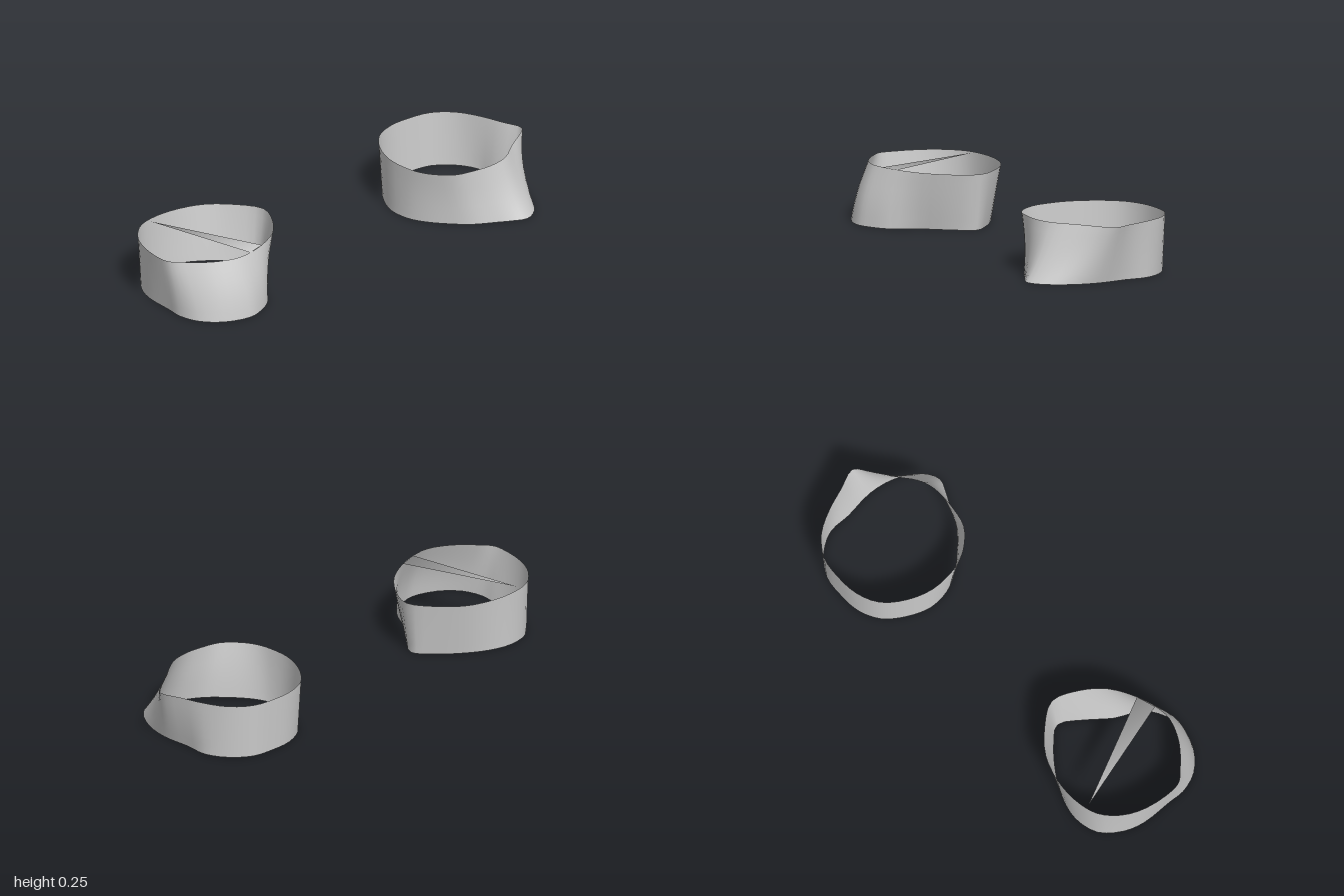
import * as THREE from 'three';

// Matched outline points: [topX, topZ, bottomX, bottomZ], clockwise seen from above
const rightCuff = [
  [-1.00, 0.02, -0.965, 0.03], [-0.98, -0.12, -0.957, -0.11], [-0.93, -0.22, -0.925, -0.20],
  [-0.85, -0.29, -0.85, -0.285], [-0.74, -0.315, -0.74, -0.31], [-0.62, -0.305, -0.635, -0.285],
  [-0.51, -0.265, -0.53, -0.225], [-0.415, -0.18, -0.43, -0.14], [-0.35, -0.075, -0.38, -0.07],
  [-0.395, 0.04, -0.445, 0.03], [-0.475, 0.135, -0.525, 0.125], [-0.59, 0.20, -0.59, 0.24],
  [-0.675, 0.225, -0.67, 0.29], [-0.76, 0.23, -0.745, 0.31], [-0.865, 0.185, -0.86, 0.275],
  [-0.95, 0.11, -0.94, 0.20], [-0.99, 0.065, -0.97, 0.11],
];
const leftCuff = [
  [1.00, 0.04, 0.935, 0.08], [0.97, -0.055, 0.925, -0.055], [0.935, -0.16, 0.925, -0.16],
  [0.88, -0.26, 0.875, -0.25], [0.795, -0.325, 0.79, -0.315], [0.69, -0.343, 0.69, -0.33],
  [0.585, -0.338, 0.585, -0.325], [0.485, -0.295, 0.49, -0.28], [0.41, -0.20, 0.42, -0.19],
  [0.37, -0.09, 0.38, -0.09], [0.37, 0.02, 0.385, 0.01], [0.385, 0.085, 0.42, 0.085],
  [0.42, 0.145, 0.485, 0.165], [0.485, 0.205, 0.56, 0.235], [0.57, 0.227, 0.65, 0.285],
  [0.66, 0.235, 0.715, 0.32], [0.755, 0.215, 0.775, 0.342], [0.86, 0.14, 0.845, 0.305],
  [0.945, 0.085, 0.91, 0.20],
].reverse();

// Open band lofted between a bottom and a top outline; bulge swells the front at mid height
function band(outline, bulge, frontRise) {
  const rows = 6, n = outline.length * 3;
  const loop = (ix, iz) => new THREE.CatmullRomCurve3(
    outline.map(p => new THREE.Vector3(p[ix], 0, p[iz])), true, 'centripetal');
  const top = loop(0, 1), bottom = loop(2, 3);
  const pos = [], index = [], v = new THREE.Vector3();
  for (let r = 0; r <= rows; r++) {
    const t = r / rows;
    for (let i = 0; i < n; i++) {
      const a = bottom.getPoint(i / n), b = top.getPoint(i / n);
      v.lerpVectors(a, b, t);
      const front = Math.max(0, v.z / 0.3);
      v.z += bulge * front * Math.sin(Math.PI * t);
      v.y = 0.006 + t * (0.248 + frontRise * front);
      pos.push(v.x, v.y, v.z);
    }
  }
  for (let r = 0; r < rows; r++) {
    for (let i = 0; i < n; i++) {
      const j = (i + 1) % n;
      const a = r * n + i, b = r * n + j, c = a + n, d = b + n;
      index.push(a, c, b, b, c, d);
    }
  }
  const g = new THREE.BufferGeometry();
  g.setAttribute('position', new THREE.Float32BufferAttribute(pos, 3));
  g.setIndex(index);
  g.computeVertexNormals();
  return g;
}

// Loose sliver from the front rim to the back rim, its normals continuing the walls it joins
function sliver() {
  const g = new THREE.BufferGeometry();
  g.setAttribute('position', new THREE.Float32BufferAttribute(
    [-0.80, 0.254, -0.29, -0.675, 0.259, 0.225, -0.59, 0.259, 0.20], 3));
  g.setAttribute('normal', new THREE.Float32BufferAttribute(
    [-0.35, 0.35, -0.87, -0.1, 0.4, 0.91, 0.1, 0.4, 0.91], 3));
  g.setIndex([0, 1, 2]);
  return g;
}

export function createModel() {
  const group = new THREE.Group();
  const grey = new THREE.MeshStandardMaterial({ color: 0xcccccc, side: THREE.DoubleSide });
  grey.name = 'light grey';
  const add = (name, geometry) => {
    const mesh = new THREE.Mesh(geometry, grey);
    mesh.name = name;
    group.add(mesh);
  };

  add('rightCuff', band(rightCuff, 0.014, 0.008));
  add('leftCuff', band(leftCuff, -0.012, 0));
  add('crossSliver', sliver());

  return group;
}
